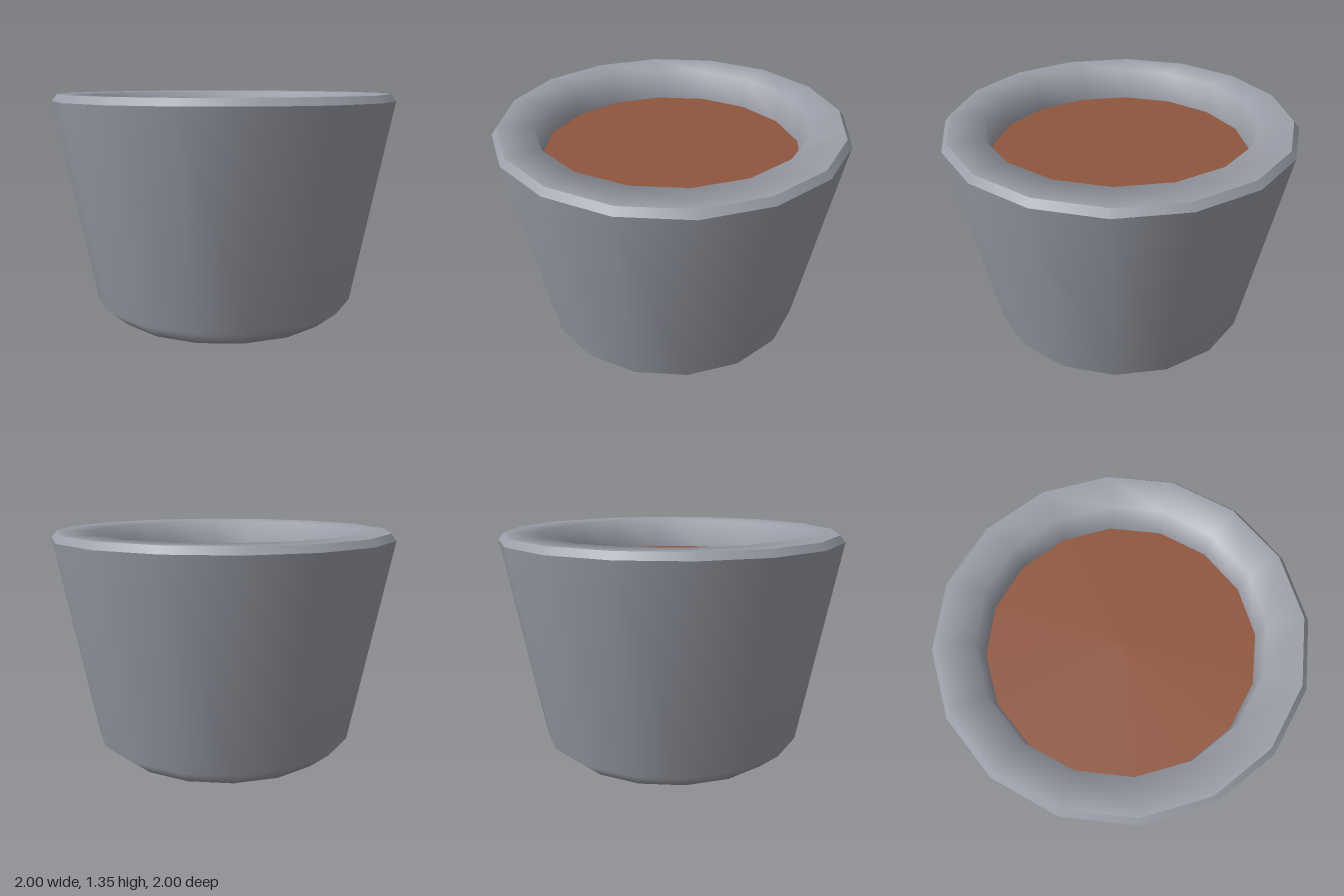
import * as THREE from 'three';

const SIDES = 16;
const START = Math.PI / SIDES; // puts a flat side, not a corner, on each axis
const TO_CORNER = 1 / Math.cos(START); // profile radii are measured to the flats

const potGrey = new THREE.MeshStandardMaterial({ name: 'potGrey', color: 0x9b9ea8 });
const soilBrown = new THREE.MeshStandardMaterial({ name: 'soilBrown', color: 0x8f563d });

// Smooth ring swept from a [radius, height] profile
function turned(name, profile) {
  const points = profile.map(([r, y]) => new THREE.Vector2(r * TO_CORNER, y));
  const mesh = new THREE.Mesh(new THREE.LatheGeometry(points, SIDES, START), potGrey);
  mesh.name = name;
  return mesh;
}

export function createModel() {
  const model = new THREE.Group();
  model.name = 'flowerPot';

  // Separate rings keep the rim edges sharp while each ring stays smooth
  model.add(turned('potBody', [[0, 0], [0.65, 0], [0.77, 0.1], [1, 1.305]]));
  model.add(turned('rimBevel', [[1, 1.305], [0.97, 1.345]]));
  model.add(turned('rimAndInnerWall', [[0.97, 1.345], [0.77, 1.34], [0.74, 1.16]]));

  // Flat soil surface inside the pot
  const soil = new THREE.Mesh(new THREE.CircleGeometry(0.74 * TO_CORNER, SIDES, START), soilBrown);
  soil.name = 'soil';
  soil.rotation.x = -Math.PI / 2;
  soil.position.y = 1.16;
  model.add(soil);

  return model;
}
